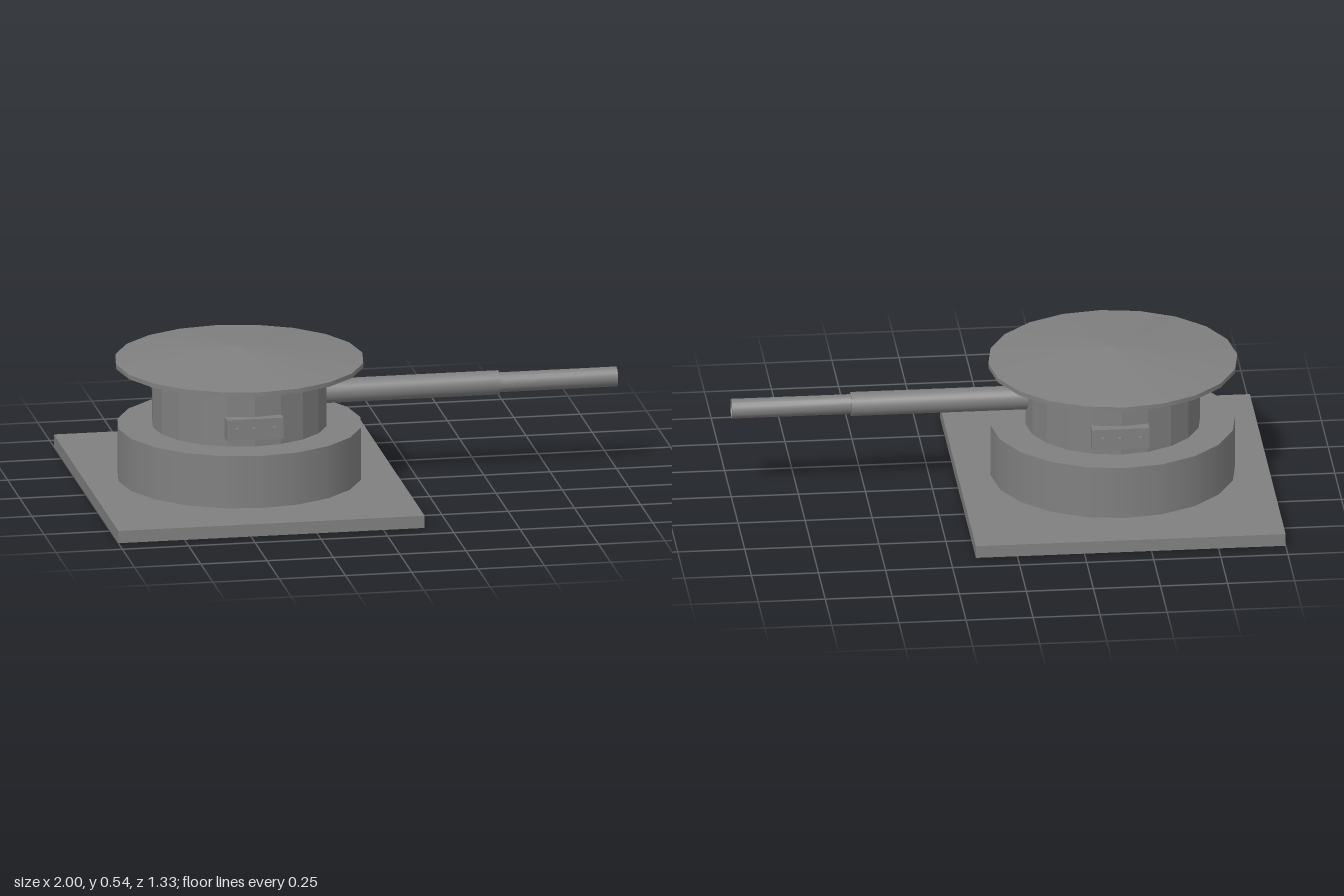
import * as THREE from 'three';
import { toCreasedNormals } from 'three/addons/utils/BufferGeometryUtils.js';

const CX = -0.422; // turret axis
const SIDES = 20;

export function createModel() {
  const model = new THREE.Group();
  model.name = 'turret';
  const grey = new THREE.MeshStandardMaterial({ color: 0x808080 });
  grey.name = 'grey';

  const add = (parent, name, geometry, x, y, z) => {
    const mesh = new THREE.Mesh(geometry, grey);
    mesh.name = name;
    mesh.position.set(x, y, z);
    parent.add(mesh);
    return mesh;
  };
  // Upright cylinder or cone between two heights
  const drum = (rTop, rBottom, y0, y1) =>
    new THREE.CylinderGeometry(rTop, rBottom, y1 - y0, SIDES).translate(0, (y0 + y1) / 2, 0);

  // Ground slab
  add(model, 'basePlate', new THREE.BoxGeometry(1.155, 0.047, 1.334), -0.4225, 0.0235, 0);

  // Stacked drums and shallow conical roof
  add(model, 'lowerDrum', drum(0.456, 0.456, 0.047, 0.248), CX, 0, 0);
  add(model, 'upperDrum', toCreasedNormals(drum(0.326, 0.326, 0.248, 0.48), 0.1), CX, 0, 0);
  add(model, 'roofRim', drum(0.464, 0.464, 0.479, 0.496), CX, 0, 0);
  add(model, 'roofCone', drum(0, 0.464, 0.496, 0.544), CX, 0, 0);

  // Stepped barrel, lathed around its axis with an open bore
  const barrelProfile = [
    [0, -0.14], [0.045, -0.14], [0.045, 0.555], [0.037, 0.555],
    [0.037, 1], [0.031, 1], [0.031, 0.5], [0, 0.5],
  ];
  const points = barrelProfile.map(([r, x]) => new THREE.Vector2(r, x));
  const barrel = toCreasedNormals(new THREE.LatheGeometry(points, SIDES), 0.6);
  barrel.rotateZ(-Math.PI / 2);
  add(model, 'barrel', barrel, 0, 0.355, 0);

  // Control boxes with three knobs, front and back
  for (const [side, turn] of [['front', 0], ['back', Math.PI]]) {
    const box = new THREE.Group();
    box.name = side + 'ControlBox';
    box.position.x = CX;
    box.rotation.y = turn;
    add(box, 'housing', new THREE.BoxGeometry(0.214, 0.08, 0.055), -0.005, 0.322, 0.3265);
    for (const x of [-0.07, -0.008, 0.069]) {
      const knob = new THREE.CylinderGeometry(0.01, 0.01, 0.02, 8).rotateX(Math.PI / 2);
      add(box, 'knob', knob, x, 0.323, 0.361);
    }
    model.add(box);
  }
  return model;
}
